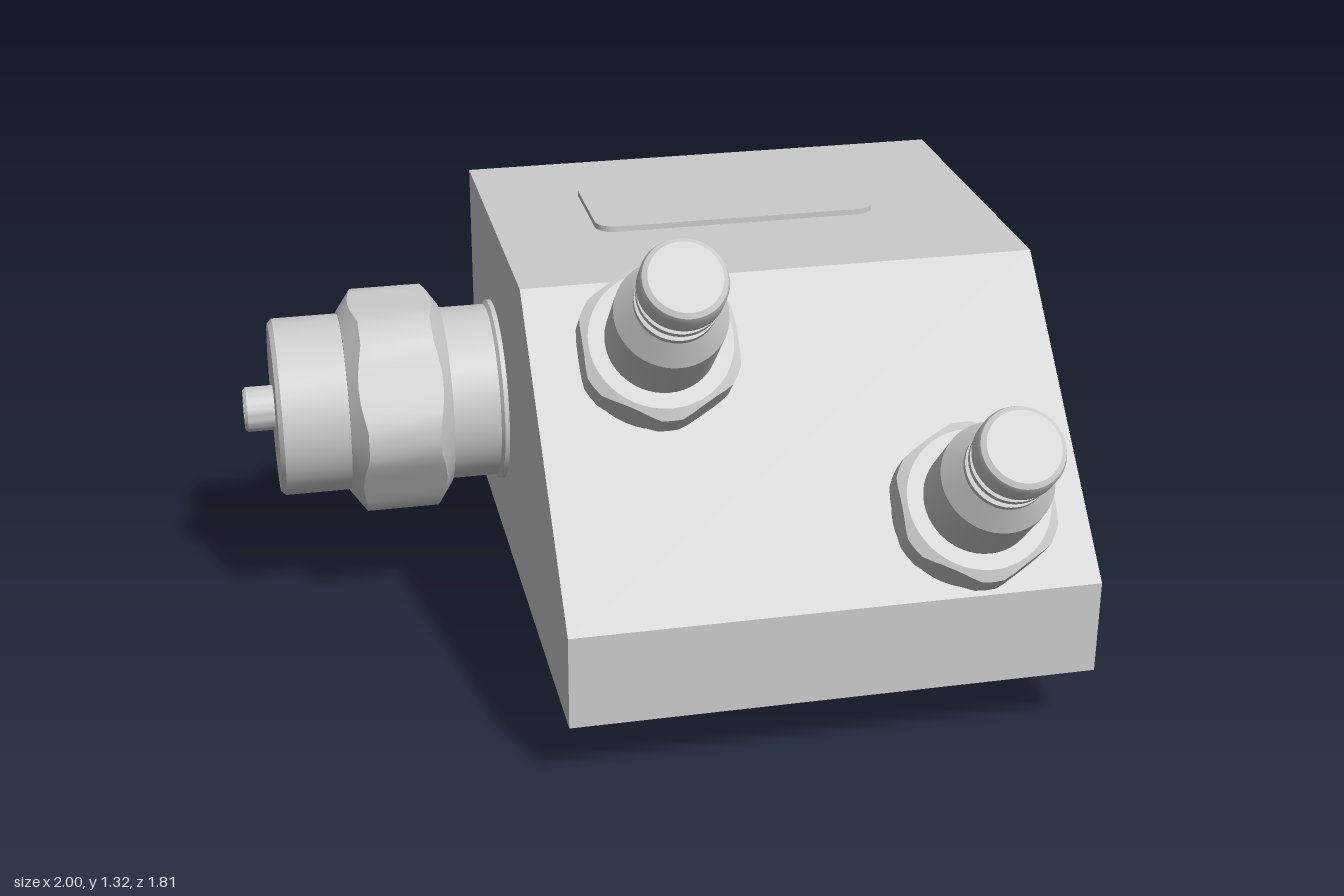
import * as THREE from 'three';
import { toCreasedNormals } from 'three/addons/utils/BufferGeometryUtils.js';

const material = new THREE.MeshStandardMaterial({ color: 0xcccccc });
const SEGMENTS = 48;

function mesh(name, geometry) {
  const m = new THREE.Mesh(geometry, material);
  m.name = name;
  return m;
}

// Turned part along +y. A point is [radius, height]; with a third value k the
// row becomes a hexagon (radius = half width across flats), whose height shifts
// by k towards the corners, giving the curved chamfer of a nut.
function turned(name, points) {
  const geo = new THREE.LatheGeometry(points.map(([r, t]) => new THREE.Vector2(r, t)), SEGMENTS);
  const pos = geo.attributes.position;
  for (let s = 0; s <= SEGMENTS; s++) {
    const phi = (s / SEGMENTS) * Math.PI * 2;
    points.forEach(([a, t, k], j) => {
      if (k === undefined) return;
      const hex = a / Math.cos((phi % (Math.PI / 3)) - Math.PI / 6);
      const r = k ? Math.min(hex, a * 1.07) : hex;
      pos.setXYZ(s * points.length + j, r * Math.sin(phi), t + k * (r - a), r * Math.cos(phi));
    });
  }
  return mesh(name, toCreasedNormals(geo, 0.4));
}

// Rows of a chamfered hexagonal nut
const nutRows = (a, rim, t0, t1, c) => [
  [0, t0], [rim, t0], [a, t0 + c, 0.8], [a, t1 - c, -0.8], [rim, t1], [0, t1],
];

// Rows that close an end at height t with a hexagonal socket
const socketRows = (a, t, depth) => [[a, t, 0], [a, t - depth, 0], [0, t - depth]];

function createHousing() {
  const side = new THREE.Shape([
    [-0.905, 0.175], [0.632, 0.175], [0.632, 0.42], [0.002, 1.05], [-0.905, 1.05],
  ].map(([z, y]) => new THREE.Vector2(z, y)));
  const geo = new THREE.ExtrudeGeometry(side, { depth: 1.32, bevelEnabled: false });
  geo.rotateY(-Math.PI / 2).translate(1, 0, 0);
  return mesh('housing', geo);
}

function createPlate() {
  const w = 0.375, h = 0.17, r = 0.05;
  const s = new THREE.Shape();
  s.absarc(w - r, h - r, r, 0, Math.PI / 2);
  s.absarc(-w + r, h - r, r, Math.PI / 2, Math.PI);
  s.absarc(-w + r, -h + r, r, Math.PI, Math.PI * 1.5);
  s.absarc(w - r, -h + r, r, Math.PI * 1.5, Math.PI * 2);
  const geo = new THREE.ExtrudeGeometry(s, { depth: 0.025, bevelEnabled: false, curveSegments: 8 });
  geo.rotateX(-Math.PI / 2);
  const plate = mesh('topPlate', geo);
  plate.position.set(0.315, 1.04, -0.51);
  return plate;
}

// Plug fitting standing square on the sloped face
function createFitting(x, y, z) {
  const g = new THREE.Group();
  g.name = 'plugFitting';
  g.add(turned('fittingWasher', [[0, -0.01], [0.185, -0.01], [0.185, 0.02], [0, 0.02]]));
  g.add(turned('fittingNut', nutRows(0.19, 0.178, 0.018, 0.125, 0.008)));
  g.add(turned('fittingBody', [
    [0, 0.1], [0.138, 0.1], [0.138, 0.285], [0.1, 0.345], [0.1, 0.36], [0.085, 0.365],
    [0.085, 0.38], [0.1, 0.385], [0.1, 0.4], [0.085, 0.405], [0.085, 0.415],
    [0.105, 0.43], [0.105, 0.475], [0.1, 0.489], [0.088, 0.497], [0, 0.497],
  ]));
  g.position.set(x, y, z);
  g.rotation.x = Math.PI / 4;
  return g;
}

// Large cable gland on the right wall, its axis along -x
function createGland() {
  const g = new THREE.Group();
  g.name = 'sideGland';
  g.add(turned('glandCollar', [
    [0, -0.01], [0.243, -0.01], [0.243, 0.012], [0.232, 0.02], [0.232, 0.17], [0, 0.17],
  ]));
  g.add(turned('glandNut', nutRows(0.28, 0.243, 0.145, 0.415, 0.025)));
  g.add(turned('glandCap', [
    [0, 0.39], [0.237, 0.39], [0.237, 0.588], [0.225, 0.6], [0, 0.6],
  ]));
  g.add(turned('glandPin', [
    [0, 0.59], [0.06, 0.59], [0.06, 0.672], [0.052, 0.68], ...socketRows(0.03, 0.68, 0.05),
  ]));
  // Set screw in the lower rear flat of the nut
  const screw = turned('setScrew', [
    [0, -0.03], [0.045, -0.03], [0.045, 0.004], [0.036, 0.006], [0.036, -0.008],
    ...socketRows(0.02, -0.008, 0.015),
  ]);
  const normal = new THREE.Vector3(-0.5, 0, -Math.sqrt(3) / 2);
  screw.quaternion.setFromUnitVectors(new THREE.Vector3(0, 1, 0), normal);
  screw.position.copy(normal).multiplyScalar(0.28).setY(0.28);
  g.add(screw);
  g.position.set(-0.32, 0.57, -0.477);
  g.rotation.z = Math.PI / 2;
  return g;
}

// Feet, turned downwards from the underside
function createFoot(name, x, z, rows) {
  const foot = turned(name, rows);
  foot.position.set(x, 0.175, z);
  foot.rotation.x = Math.PI;
  return foot;
}

const frontFootRows = [
  [0, -0.01], [0.145, -0.01], [0.145, 0.035], [0.128, 0.05], [0.075, 0.05],
  [0.075, 0.138], [0.07, 0.143], ...socketRows(0.036, 0.143, 0.05),
];
const rearFootRows = [
  [0, -0.01], [0.078, -0.01], [0.078, 0.045], [0.095, 0.062], [0.135, 0.09], [0.144, 0.102],
  [0.145, 0.125], [0.14, 0.145], [0.125, 0.158], [0.075, 0.16], [0.075, 0.172], [0.07, 0.175],
  ...socketRows(0.036, 0.175, 0.05),
];

export function createModel() {
  const model = new THREE.Group();
  model.name = 'valveBlock';
  model.add(createHousing(), createPlate(), createGland());
  model.add(createFitting(-0.015, 0.901, 0.151), createFitting(0.692, 0.566, 0.486));
  for (const x of [-0.077, 0.803]) {
    model.add(createFoot('frontFoot', x, 0.075, frontFootRows));
    model.add(createFoot('rearFoot', x, -0.735, rearFootRows));
  }
  return model;
}
